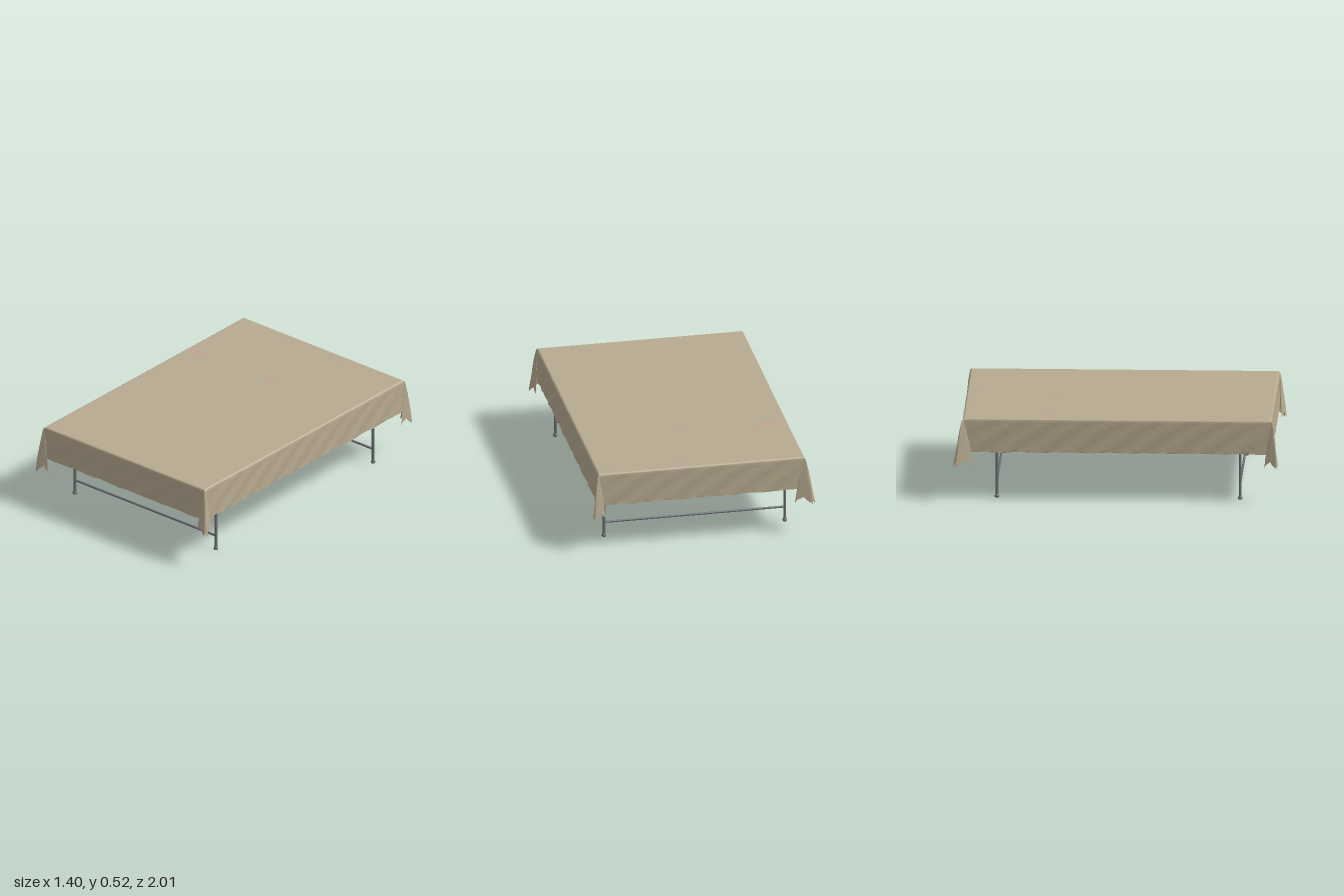
import * as THREE from 'three';

const TOP = 0.517, DROP = 0.212;
const X0 = -0.64, X1 = 0.657, Z0 = -0.953, Z1 = 0.953;

const cloth = new THREE.MeshStandardMaterial({ color: 0xb8aa90, side: THREE.DoubleSide });
cloth.name = 'beige linen';
const metal = new THREE.MeshStandardMaterial({ color: 0x6b6e73 });
metal.name = 'grey steel';
const pink = new THREE.MeshStandardMaterial({ color: 0xcf9a98 });
pink.name = 'faded pink';
const lilac = new THREE.MeshStandardMaterial({ color: 0xb5a3ab });
lilac.name = 'faded lilac';

function add(parent, name, geometry, material, x = 0, y = 0, z = 0) {
  const mesh = new THREE.Mesh(geometry, material);
  mesh.name = name;
  mesh.position.set(x, y, z);
  parent.add(mesh);
  return mesh;
}

// Round bar between two points
function bar(parent, name, a, b, radius) {
  const from = new THREE.Vector3(...a), to = new THREE.Vector3(...b);
  const dir = to.clone().sub(from);
  const mesh = add(parent, name, new THREE.CylinderGeometry(radius, radius, dir.length(), 14), metal);
  mesh.position.copy(from).add(to).multiplyScalar(0.5);
  mesh.quaternion.setFromUnitVectors(new THREE.Vector3(0, 1, 0), dir.normalize());
}

// Gentle creases in the hanging cloth
const crease = (s, y) =>
  0.0022 * Math.sin(s * 31 + 9 * y) + 0.0018 * Math.sin(s * 57 - 41 * y + 1) + 0.0012 * Math.sin(s * 93 + 70 * y);

// Pleated corner fold: x along the edge, y drop of the hem, z outward
const fold = new THREE.CatmullRomCurve3([
  [0, DROP, 0], [-0.025, 0.25, 0.01], [-0.05, 0.295, 0.014], [-0.015, 0.255, 0.024],
  [0.028, 0.295, 0.042], [0.035, 0.27, 0.035], [0.042, 0.3, 0.028], [0.024, 0.255, -0.015],
  [0.014, 0.295, -0.05], [0.01, 0.25, -0.025], [0, DROP, 0],
].map(p => new THREE.Vector3(...p)), false, 'catmullrom', 0.3);

// Hanging skirt: walk round the rim, each rim point drops a column of cloth
function skirtGeometry() {
  const corners = [[X0, Z1], [X1, Z1], [X1, Z0], [X0, Z0]];
  const spreads = [0.95, 1.0, 0.9, 1.35];
  const columns = [];
  corners.forEach(([ax, az], i) => {
    const k = (i + 1) % 4, [bx, bz] = corners[k];
    const length = Math.hypot(bx - ax, bz - az);
    const ex = (bx - ax) / length, ez = (bz - az) / length;
    const nx = -ez, nz = ex;
    const n = Math.round(length * 45);
    for (let j = 1; j < n; j++) {
      const s = j / n * length;
      columns.push({ x: ax + ex * s, z: az + ez * s, ox: 0, oz: 0, nx, nz,
        drop: DROP + 0.002 * Math.sin(s * 23 + i), s: s + i * 2,
        fade: Math.min(1, 8 * Math.min(s, length - s)) });
    }
    const steps = 50;
    for (let j = 0; j <= steps; j++) {
      const p = fold.getPoint(j / steps);
      const f = spreads[k];
      columns.push({ x: bx, z: bz, ox: (ex * p.x + nx * p.z) * f, oz: (ez * p.x + nz * p.z) * f,
        nx: (nx + ex) * 0.7, nz: (nz + ez) * 0.7, drop: p.y + 0.004 * Math.sin(j * 1.9), s: j * 0.02, fade: 0.6 });
    }
  });
  // rows: [fraction of the drop, inset from the rim]
  const rows = [[0, 0.01], [0.012, 0.004], [0.04, 0]];
  for (let r = 1; r <= 14; r++) rows.push([0.04 + 0.96 * r / 14, 0]);
  const positions = [], index = [], count = columns.length;
  for (const [v, inset] of rows) {
    for (const c of columns) {
      const w = crease(c.s, v) * c.fade * Math.min(1, v * 4);
      const ix = inset * Math.sign(c.x), iz = inset * Math.sign(c.z);
      const onRimX = c.x === X0 || c.x === X1, onRimZ = c.z === Z0 || c.z === Z1;
      positions.push(
        c.x - (onRimX ? ix : 0) + c.ox * v ** 0.8 + c.nx * w,
        TOP - c.drop * v,
        c.z - (onRimZ ? iz : 0) + c.oz * v ** 0.8 + c.nz * w);
    }
  }
  for (let r = 0; r < rows.length - 1; r++) {
    for (let c = 0; c < count; c++) {
      const d = (c + 1) % count, a = r * count, b = a + count;
      index.push(a + c, b + c, a + d, a + d, b + c, b + d);
    }
  }
  const geometry = new THREE.BufferGeometry();
  geometry.setAttribute('position', new THREE.Float32BufferAttribute(positions, 3));
  geometry.setIndex(index);
  geometry.computeVertexNormals();
  return geometry;
}

export function createModel() {
  const model = new THREE.Group();
  model.name = 'clothCoveredTable';
  const midX = (X0 + X1) / 2;

  // Tabletop and cloth
  const width = X1 - X0, depth = Z1 - Z0;
  add(model, 'tabletop', new THREE.BoxGeometry(width - 0.02, 0.036, depth - 0.02), cloth, midX, 0.494, 0);
  const sheet = new THREE.PlaneGeometry(width - 0.02, depth - 0.02).rotateX(-Math.PI / 2);
  add(model, 'clothTop', sheet, cloth, midX, TOP, 0);
  add(model, 'clothSkirt', skirtGeometry(), cloth);

  // Faded streaks on the cloth: x, z, length, width, turn
  const streaks = [
    [-0.55, -0.408, 0.17, 0.018, 0.1, pink], [-0.42, -0.445, 0.05, 0.01, 0.5, pink],
    [0.035, -0.402, 0.07, 0.016, 0.15, pink], [0.14, -0.902, 0.09, 0.018, -0.1, lilac],
    [-0.27, -0.9, 0.05, 0.012, 0.2, lilac], [0.58, -0.9, 0.06, 0.012, 0, lilac],
  ];
  for (const [x, z, length, breadth, turn, material] of streaks) {
    const geometry = new THREE.CircleGeometry(0.5, 16).scale(length, breadth, 1).rotateX(-Math.PI / 2);
    add(model, 'streak', geometry, material, x, TOP + 0.001, z).rotation.y = turn;
  }

  // Two leg frames, one near each end
  const L = -0.557, R = 0.58, M = (L + R) / 2;
  const footProfile = [[0, 0], [0.011, 0], [0.0145, 0.005], [0.0145, 0.011], [0.011, 0.018], [0.009, 0.021]]
    .map(p => new THREE.Vector2(...p));
  for (const [name, z, inward] of [['frontFrame', 0.755, -1], ['backFrame', -0.745, 1]]) {
    const frame = new THREE.Group();
    frame.name = name;
    model.add(frame);
    for (const x of [L, R]) {
      bar(frame, 'leg', [x, 0.01, z], [x, 0.478, z], 0.009);
      add(frame, 'foot', new THREE.LatheGeometry(footProfile, 16), metal, x, 0, z);
    }
    bar(frame, 'lowerRail', [L, 0.097, z], [R, 0.097, z], 0.007);
    bar(frame, 'upperRail', [L, 0.467, z], [R, 0.467, z], 0.008);
    bar(frame, 'brace', [M, 0.467, z], [M, 0.467, z + inward * 0.5], 0.007);
  }
  return model;
}
